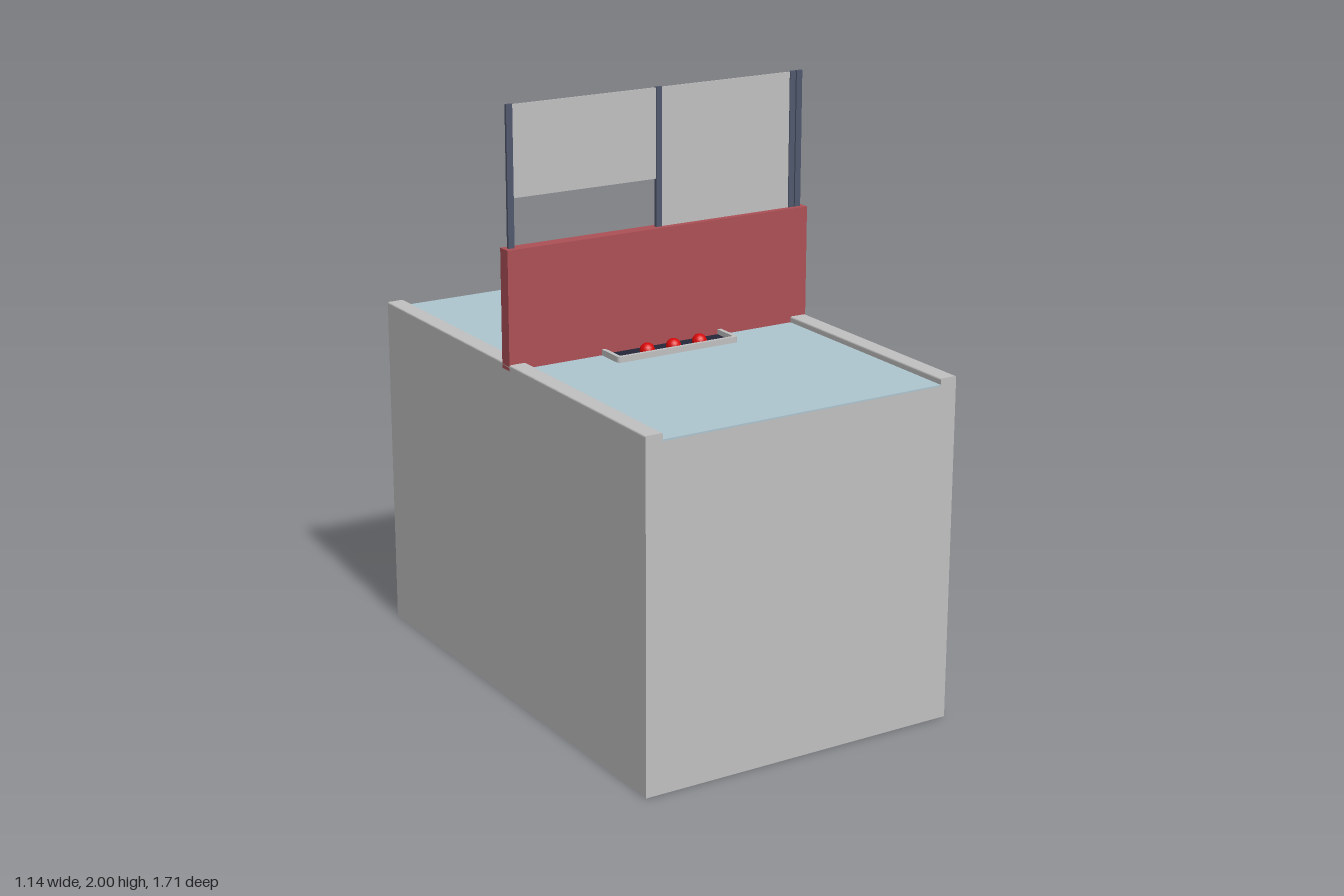
import * as THREE from 'three';

export function createModel() {
  const group = new THREE.Group();
  const mat = (name, color) => {
    const m = new THREE.MeshStandardMaterial({ color });
    m.name = name;
    return m;
  };
  const grey = mat('light grey', 0xc0c0c0);
  const blue = mat('pale blue', 0xadc5cf);
  const red = mat('brick red', 0xac5056);
  const steel = mat('slate', 0x50586c);
  const dark = mat('dark tray', 0x25253a);
  const bright = mat('bright red', 0xd80808);

  const add = (name, geometry, material, x = 0, y = 0, z = 0) => {
    const mesh = new THREE.Mesh(geometry, material);
    mesh.name = name;
    mesh.position.set(x, y, z);
    group.add(mesh);
    return mesh;
  };
  // Box given by its lower and upper corners
  const box = (name, material, x0, x1, y0, y1, z0, z1) =>
    add(name, new THREE.BoxGeometry(x1 - x0, y1 - y0, z1 - z0), material,
      (x0 + x1) / 2, (y0 + y1) / 2, (z0 + z1) / 2);

  // Base block and its coloured top
  box('base', grey, -0.57, 0.57, 0, 1.14, -0.855, 0.855);
  box('tableTop', blue, -0.512, 0.512, 1.138, 1.145, -0.855, 0.855);

  // Side rails with softened upper edges
  for (const s of [-1, 1]) {
    const profile = new THREE.Shape();
    profile.moveTo(-0.03, 0);
    profile.lineTo(0.03, 0);
    profile.lineTo(0.03, 0.019);
    profile.quadraticCurveTo(0.03, 0.025, 0.024, 0.025);
    profile.lineTo(-0.024, 0.025);
    profile.quadraticCurveTo(-0.03, 0.025, -0.03, 0.019);
    const rail = new THREE.ExtrudeGeometry(profile, { depth: 1.71, bevelEnabled: false, curveSegments: 4 });
    add('sideRail', rail, grey, s * 0.54, 1.14, -0.855);
  }

  // Dividing wall
  box('dividingWall', red, -0.57, 0.57, 1.145, 1.54, -0.024, 0.024);

  // Posts and screens above the wall
  for (const x of [-0.545, 0, 0.518, 0.544]) {
    box('post', steel, x - 0.011, x + 0.011, 1.54, 2, -0.005, 0.005);
  }
  box('raisedScreen', grey, -0.535, -0.01, 1.7, 1.998, -0.002, 0.002);
  box('fullScreen', grey, 0.01, 0.508, 1.54, 1.998, -0.002, 0.002);

  // Sunken tray with a rounded rim
  const roundRect = (path, w, h, r) => {
    path.moveTo(-w + r, -h);
    path.lineTo(w - r, -h);
    path.quadraticCurveTo(w, -h, w, -h + r);
    path.lineTo(w, h - r);
    path.quadraticCurveTo(w, h, w - r, h);
    path.lineTo(-w + r, h);
    path.quadraticCurveTo(-w, h, -w, h - r);
    path.lineTo(-w, -h + r);
    path.quadraticCurveTo(-w, -h, -w + r, -h);
    return path;
  };
  const rimShape = roundRect(new THREE.Shape(), 0.23, 0.133, 0.014);
  rimShape.holes.push(roundRect(new THREE.Path(), 0.216, 0.12, 0.005));
  const rimGeometry = new THREE.ExtrudeGeometry(rimShape, { depth: 0.021, bevelEnabled: false, curveSegments: 5 });
  rimGeometry.rotateX(-Math.PI / 2);
  add('trayRim', rimGeometry, grey, 0, 1.144, -0.003);
  box('trayFloor', dark, -0.217, 0.217, 1.143, 1.148, -0.124, 0.118);

  // Three balls on each side of the wall
  const ball = new THREE.SphereGeometry(0.025, 24, 16);
  for (const z of [-0.1, 0.094]) {
    for (const x of [-0.1, 0, 0.1]) add('ball', ball, bright, x, 1.16, z);
  }

  return group;
}
